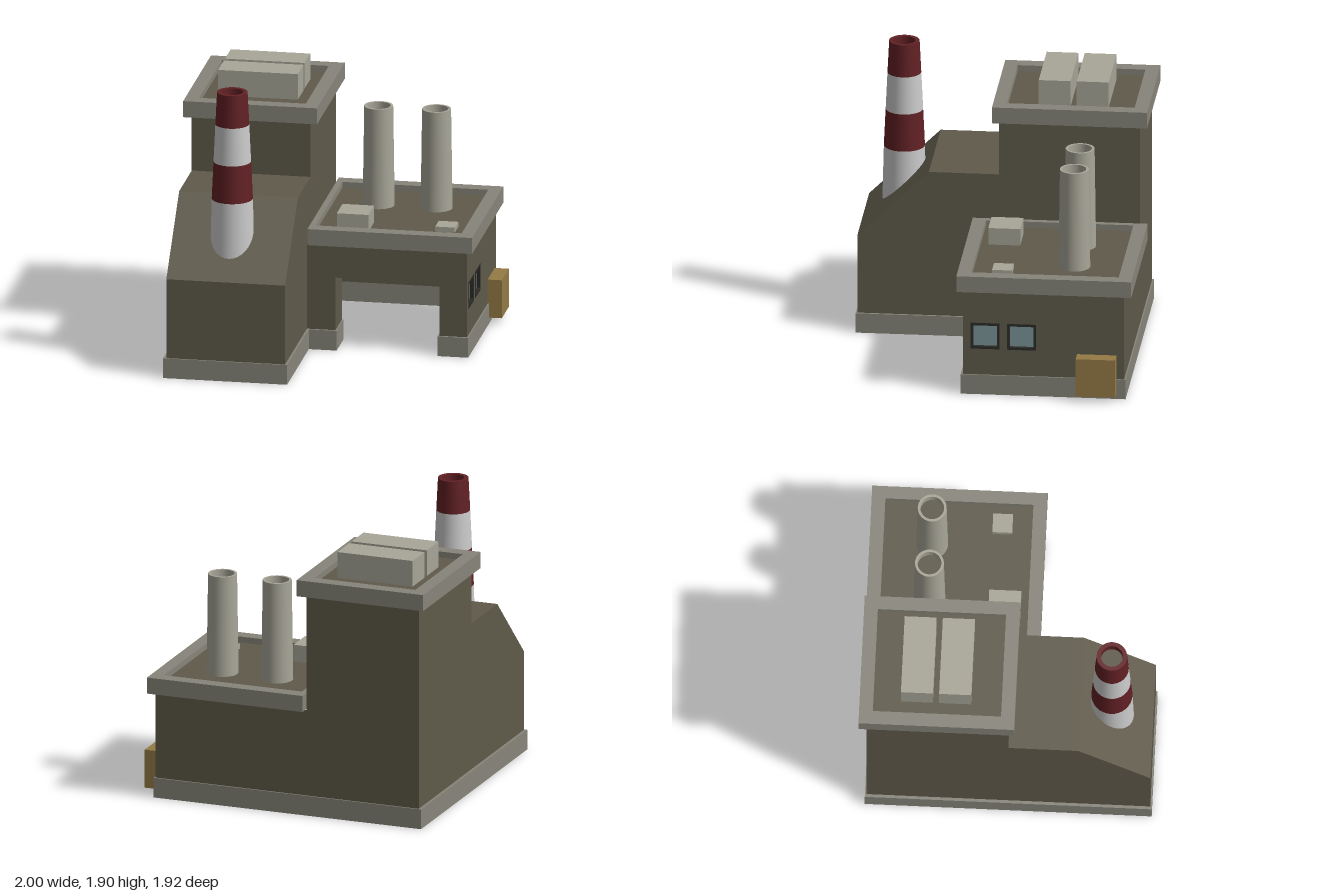
import * as THREE from 'three';

const mat = (color) => new THREE.MeshStandardMaterial({ color, side: THREE.DoubleSide });
const WALL = mat(0x5f5a4a), TRIM = mat(0x87857a), VENT = mat(0xa8a698), WHITE = mat(0xcccccc);
const RED = mat(0x622024), YELLOW = mat(0x947b45), GLASS = mat(0x7c9598), FRAME = mat(0x2c2b28);

function add(parent, name, geometry, material, x = 0, y = 0, z = 0) {
  const mesh = new THREE.Mesh(geometry, material);
  mesh.name = name;
  mesh.position.set(x, y, z);
  parent.add(mesh);
  return mesh;
}

function group(parent, name) {
  const g = new THREE.Group();
  g.name = name;
  parent.add(g);
  return g;
}

// Box given by its limits
function block(parent, name, material, [x0, x1], [y0, y1], [z0, z1]) {
  return add(parent, name, new THREE.BoxGeometry(x1 - x0, y1 - y0, z1 - z0), material,
    (x0 + x1) / 2, (y0 + y1) / 2, (z0 + z1) / 2);
}

// Flat-faced surface between two matching rows of 3D points
function loft(rowA, rowB) {
  const pos = [];
  for (let i = 0; i < rowA.length - 1; i++) {
    const [a, b, c, d] = [rowA[i], rowA[i + 1], rowB[i + 1], rowB[i]];
    pos.push(...a, ...b, ...c, ...a, ...c, ...d);
  }
  const g = new THREE.BufferGeometry();
  g.setAttribute('position', new THREE.Float32BufferAttribute(pos, 3));
  g.computeVertexNormals();
  return g;
}

// Band between two plan paths of [x, z] at heights y0 and y1
const band = (pathA, y0, pathB, y1) =>
  loft(pathA.map(([x, z]) => [x, y0, z]), pathB.map(([x, z]) => [x, y1, z]));

function rectangle(x0, x1, y0, y1, Type = THREE.Shape) {
  const s = new Type();
  s.moveTo(x0, y0).lineTo(x1, y0).lineTo(x1, y1).lineTo(x0, y1).closePath();
  return s;
}

// Plinth with a narrow ledge up to the wall line
function plinth(parent, outer, inner) {
  add(parent, 'plinth', band(outer, 0, outer, 0.135), TRIM);
  add(parent, 'plinthLedge', band(outer, 0.135, inner, 0.135), TRIM);
}

// Roof slab with raised rim and sunken floor
function roof(parent, name, [x0, x1], [y0, y1], [z0, z1], [a0, a1], [b0, b1]) {
  const g = group(parent, name);
  const shape = rectangle(x0, x1, -z1, -z0);
  shape.holes.push(rectangle(a0, a1, -b1, -b0, THREE.Path));
  const rim = new THREE.ExtrudeGeometry(shape, { depth: y1 - y0, bevelEnabled: false });
  rim.rotateX(-Math.PI / 2);
  add(g, 'roofRim', rim, TRIM, 0, y0, 0);
  block(g, 'roofFloor', WALL, [a0, a1], [y1 - 0.06, y1 - 0.04], [b0, b1]);
}

// Round stack: one sharp-edged turned band per [radius, y] pair
function stack(parent, name, profile, materials, x, z) {
  const g = group(parent, name);
  for (let i = 0; i < profile.length - 1; i++) {
    const pts = [profile[i], profile[i + 1]].map(([r, y]) => new THREE.Vector2(r, y));
    add(g, 'stackBand', new THREE.LatheGeometry(pts, 32), materials[Math.min(i, materials.length - 1)]);
  }
  g.position.set(x, 0, z);
}

function tallHall(root) {
  const g = group(root, 'tallHall');
  const x0 = -0.95, x1 = -0.16;
  const profile = [[0.95, 0.135], [0.95, 0.675], [0.48, 1.135], [0.02, 1.135], [0.02, 1.51], [-0.91, 1.51], [-0.91, 0.135]];
  add(g, 'hallShell', loft(profile.map(([z, y]) => [x0, y, z]), profile.map(([z, y]) => [x1, y, z])).scale(1, 1, 1), WALL);
  // Reverse the winding so that the shell faces outwards
  g.children[0].geometry = loft(profile.map(([z, y]) => [x1, y, z]), profile.map(([z, y]) => [x0, y, z]));
  for (const [x, side] of [[x1, 1], [x0, -1]]) {
    const shape = new THREE.Shape(profile.map(([z, y]) => new THREE.Vector2(-side * z, y)));
    add(g, 'hallSide', new THREE.ShapeGeometry(shape).rotateY(side * Math.PI / 2), WALL, x, 0, 0);
  }
  const ring = (a, b, c, d) => [[a, d], [b, d], [b, c], [a, c], [a, d]];
  plinth(g, ring(-0.97, -0.145, -0.92, 0.96), ring(x0, x1, -0.91, 0.95));
  roof(g, 'hallRoof', [-1, -0.11], [1.51, 1.62], [-0.96, 0.06], [-0.91, -0.2], [-0.87, -0.03]);
  for (const z of [-0.69, -0.44]) block(g, 'roofUnit', VENT, [-0.82, -0.29], [1.57, 1.755], [z, z + 0.21]);

  // Banded chimney on the slope
  stack(g, 'chimney',
    [[0.145, 0.78], [0.135, 1.17], [0.123, 1.425], [0.111, 1.68], [0.1, 1.9], [0.072, 1.9], [0.072, 1.84], [0, 1.84]],
    [WHITE, RED, WHITE, RED, RED, RED, WALL], -0.56, 0.68);
}

function lowWing(root) {
  const g = group(root, 'lowWing');
  // Door posts with deep reveals
  const leftPost = [[-0.16, 0.15], [0.03, 0.15], [0.03, -0.09]];
  const rightPost = [[0.72, -0.09], [0.72, 0.15], [0.905, 0.15]];
  const back = [[0.905, -0.91], [-0.16, -0.91]];
  const front = [[-0.16, 0.15], [0.905, 0.15]];
  for (const p of [leftPost, rightPost]) add(g, 'doorPost', band(p, 0.135, p, 0.495), WALL);
  add(g, 'lintel', band(front, 0.495, front, 0.72), WALL);
  add(g, 'doorHead', band([[0.72, 0.15], [0.03, 0.15]], 0.495, [[0.72, -0.09], [0.03, -0.09]], 0.495), WALL);
  add(g, 'backWall', band(back, 0.135, back, 0.72), WALL);
  plinth(g, [[-0.145, 0.165], [0.04, 0.165], [0.04, -0.09]], leftPost);
  plinth(g, [[0.71, -0.09], [0.71, 0.165], [0.915, 0.165], [0.915, -0.92], [-0.145, -0.92]], [...rightPost, ...back]);

  // Side wall with two framed windows
  const wall = rectangle(-0.15, 0.91, 0.135, 0.72);
  for (const u of [-0.1, 0.14]) {
    wall.holes.push(rectangle(u, u + 0.19, 0.315, 0.495, THREE.Path));
    const frame = rectangle(u, u + 0.19, 0.315, 0.495);
    frame.holes.push(rectangle(u + 0.017, u + 0.173, 0.332, 0.478, THREE.Path));
    const bars = new THREE.ExtrudeGeometry(frame, { depth: 0.03, bevelEnabled: false });
    add(g, 'windowFrame', bars.rotateY(Math.PI / 2), FRAME, 0.878, 0, 0);
    block(g, 'windowGlass', GLASS, [0.875, 0.885], [0.33, 0.48], [-u - 0.175, -u - 0.015]);
  }
  add(g, 'sideWall', new THREE.ShapeGeometry(wall).rotateY(Math.PI / 2), WALL, 0.905, 0, 0);
  block(g, 'utilityBox', YELLOW, [0.905, 1], [0.04, 0.3], [-0.86, -0.6]);

  // Roof with vents and two hollow pipes
  roof(g, 'wingRoof', [-0.15, 0.945], [0.72, 0.83], [-0.96, 0.19], [-0.11, 0.86], [-0.87, 0.1]);
  block(g, 'roofVent', VENT, [0.02, 0.23], [0.78, 0.905], [-0.16, 0.05]);
  block(g, 'roofHatch', VENT, [0.66, 0.79], [0.78, 0.825], [-0.16, -0.03]);
  for (const x of [0.19, 0.575]) {
    stack(g, 'pipe', [[0.105, 0.78], [0.095, 1.47], [0.078, 1.47], [0.078, 1.41], [0, 1.41]],
      [VENT, VENT, VENT, WALL], x, -0.55);
  }
}

export function createModel() {
  const root = new THREE.Group();
  root.name = 'factory';
  tallHall(root);
  lowWing(root);
  return root;
}
